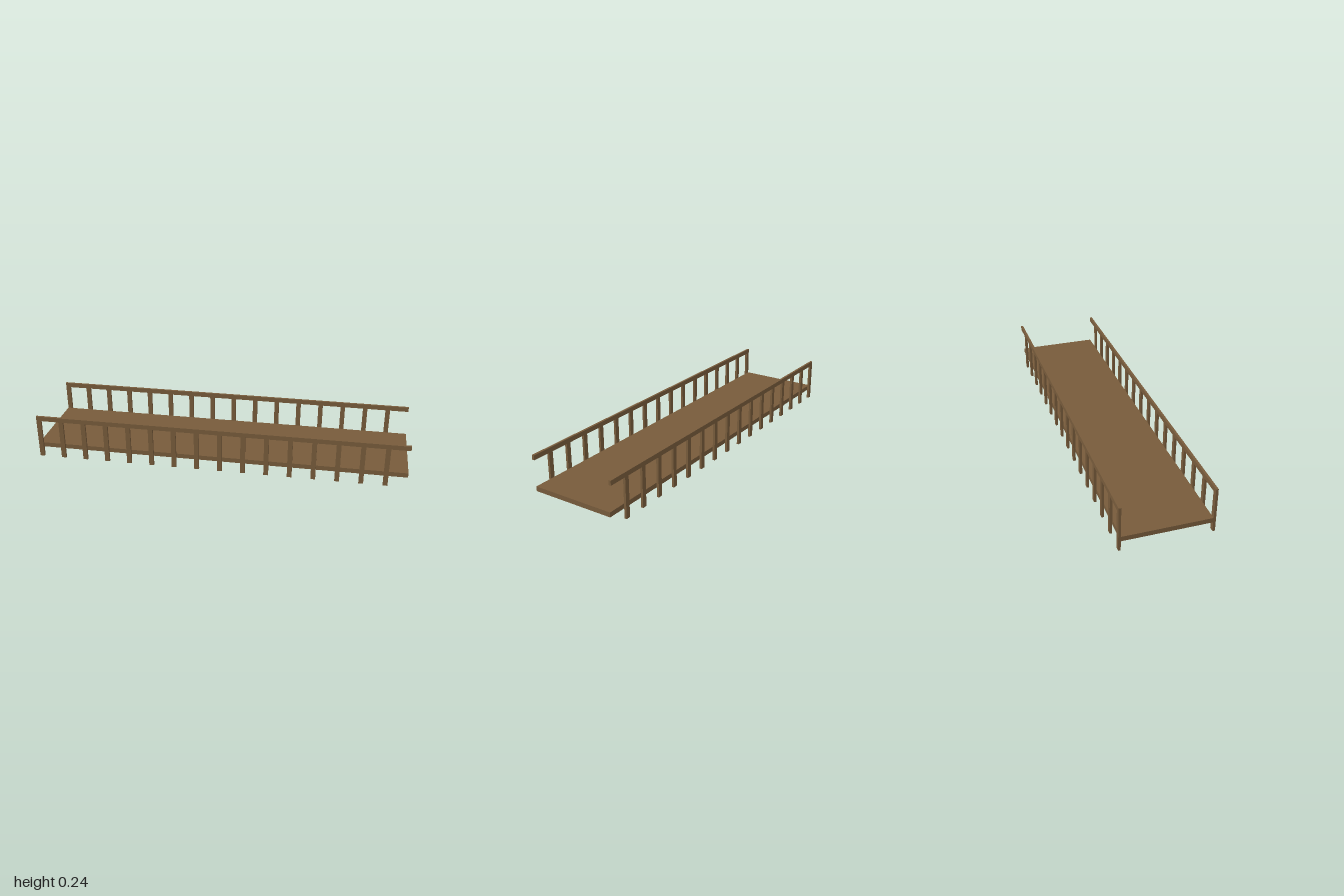
import * as THREE from 'three';

export function createModel() {
  const wood = new THREE.MeshStandardMaterial({ color: 0x775b3b });
  wood.name = 'brown wood';
  const bridge = new THREE.Group();
  bridge.name = 'footbridge';

  // Box given by its size and the centre of its underside
  function beam(name, parent, [w, h, d], [x, y, z]) {
    const mesh = new THREE.Mesh(new THREE.BoxGeometry(w, h, d), wood);
    mesh.name = name;
    mesh.position.set(x, y + h / 2, z);
    parent.add(mesh);
  }

  const thick = 0.025, depth = 0.0125, railZ = 0.232, railY = 0.214;
  const postCount = 16, spacing = 2 / postCount;

  // Walkway between the two railings
  beam('deck', bridge, [2, thick, 2 * railZ - depth], [0, 0.052, 0]);

  // Railings: posts start flush at -x and leave the +x end open
  for (const side of [1, -1]) {
    const railing = new THREE.Group();
    railing.name = side > 0 ? 'frontRailing' : 'backRailing';
    beam('handrail', railing, [2, thick, depth], [0, railY, side * railZ]);
    for (let i = 0; i < postCount; i++) {
      beam('post', railing, [thick, railY, depth],
        [-1 + thick / 2 + i * spacing, 0, side * railZ]);
    }
    bridge.add(railing);
  }
  return bridge;
}
